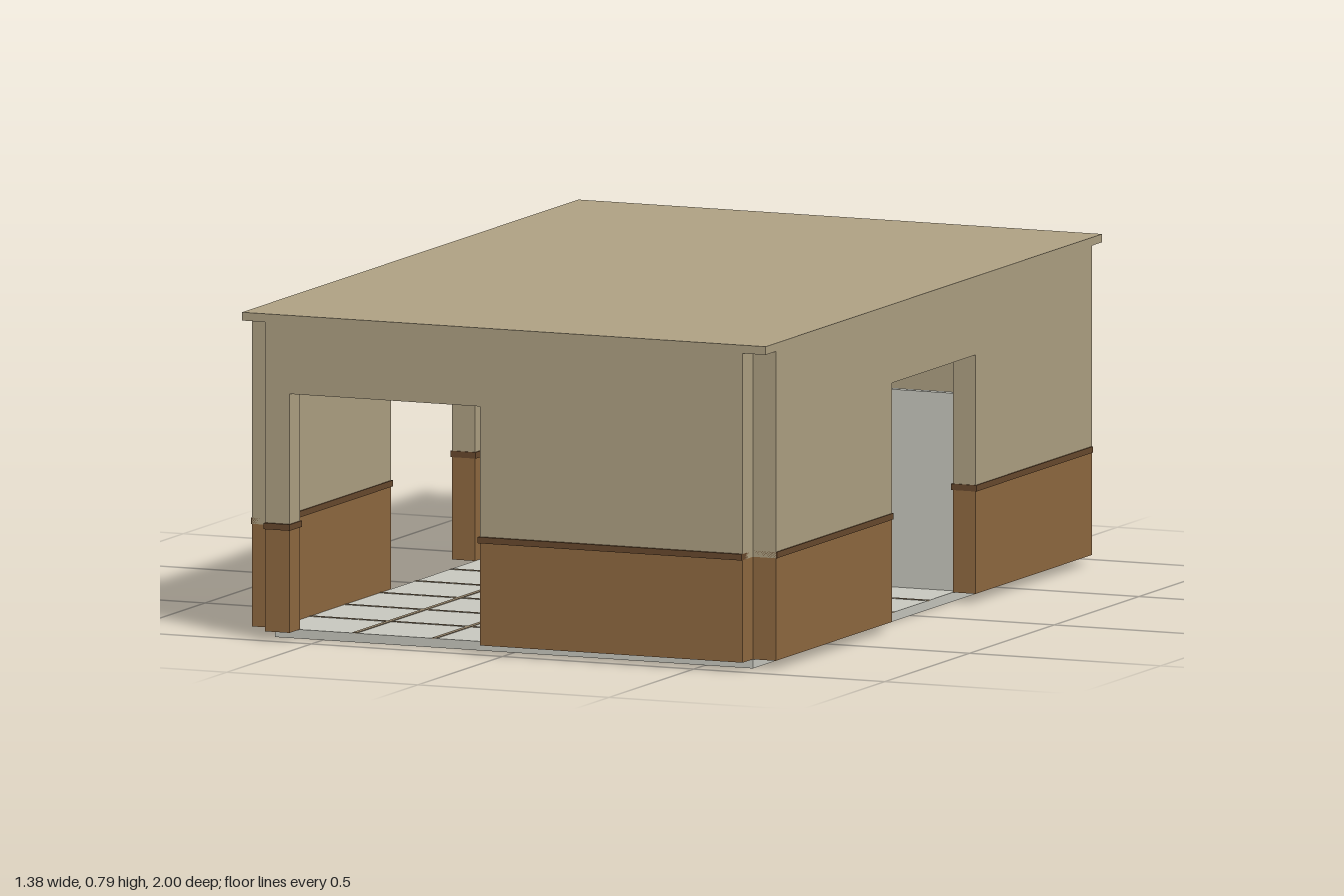
import * as THREE from 'three';

const material = (name, color) => {
  const m = new THREE.MeshStandardMaterial({ color });
  m.name = name;
  return m;
};

export function createModel() {
  const plaster = material('tan plaster', 0xb1a385);
  const wood = material('brown wainscot', 0x916a41);
  const rail = material('dark rail', 0x694a2e);
  const tile = material('light grey tile', 0xcacac1);
  const grout = material('brown grout', 0x95846b);

  const model = new THREE.Group();
  model.name = 'building';

  const floorY = 0.022, railY = 0.27, railTop = 0.285, doorTop = 0.6, eaveY = 0.77, roofY = 0.79;
  const inX = 0.625, outX = 0.685, inZ = 0.933, outZ = 0.993;

  // Box given by its lower and upper corners
  function box(parent, name, mat, [x0, y0, z0], [x1, y1, z1]) {
    const mesh = new THREE.Mesh(new THREE.BoxGeometry(x1 - x0, y1 - y0, z1 - z0), mat);
    mesh.position.set((x0 + x1) / 2, (y0 + y1) / 2, (z0 + z1) / 2);
    mesh.name = name;
    parent.add(mesh);
    return mesh;
  }

  // Wall lying along its local x, thickness centred on local z, with one doorway
  function wall(name, half, doorA, doorB, thick, lip) {
    const g = new THREE.Group();
    g.name = name;
    const outline = new THREE.Shape([
      [-half, railY], [doorA, railY], [doorA, doorTop], [doorB, doorTop],
      [doorB, railY], [half, railY], [half, eaveY], [-half, eaveY],
    ].map(([x, y]) => new THREE.Vector2(x, y)));
    const upper = new THREE.Mesh(
      new THREE.ExtrudeGeometry(outline, { depth: thick, bevelEnabled: false }), plaster);
    upper.position.z = -thick / 2;
    upper.name = 'upperWall';
    g.add(upper);
    for (const [a, b] of [[-half, doorA], [doorB, half]]) {
      box(g, 'wainscot', wood, [a, floorY, -thick / 2], [b, railY, thick / 2]);
      const endA = a === -half ? a : a - 0.003, endB = b === half ? b : b + 0.003;
      box(g, 'wallRail', rail, [endA, railY, -thick / 2 - lip], [endB, railTop, thick / 2 + lip]);
    }
    model.add(g);
    return g;
  }

  // Front and back walls share an off-centre doorway, side walls a central one
  for (const s of [1, -1]) {
    const endWall = wall(s > 0 ? 'frontWall' : 'backWall', inX, -0.56, -0.062, outZ - inZ, 0.007);
    endWall.position.z = s * (inZ + outZ) / 2;
    const sideWall = wall(s > 0 ? 'leftWall' : 'rightWall', inZ, -0.247, 0.247, outX - inX, 0.003);
    sideWall.rotation.y = Math.PI / 2;
    sideWall.position.x = s * (inX + outX) / 2;
  }

  // Roof slab
  box(model, 'roof', plaster, [-outX, eaveY, -outZ], [outX, roofY, outZ]);

  // Tiled floor: slab with thin grout lines, 6 by 9 tiles
  box(model, 'floorSlab', tile, [-inX, 0, -inZ], [inX, floorY, inZ]);
  const lines = new THREE.Group();
  lines.name = 'groutLines';
  model.add(lines);
  const w = 0.006, top = floorY + 0.0015;
  for (let i = 1; i < 6; i++) {
    const x = -inX + i * 2 * inX / 6;
    box(lines, 'groutLong', grout, [x - w, floorY - 0.002, -inZ], [x + w, top, inZ]);
  }
  for (let i = 1; i < 9; i++) {
    const z = -inZ + i * 2 * inZ / 9;
    box(lines, 'groutCross', grout, [-inX, floorY - 0.002, z - w], [inX, top - 0.0004, z + w]);
  }

  // Low interior partition beside the left doorway
  box(model, 'partition', tile, [0.15, floorY, -0.29], [inX, 0.5, -0.27]);

  // Ceiling beam
  box(model, 'ceilingBeam', wood, [-inX, 0.71, 0.26], [inX, eaveY, 0.38]);

  return model;
}
